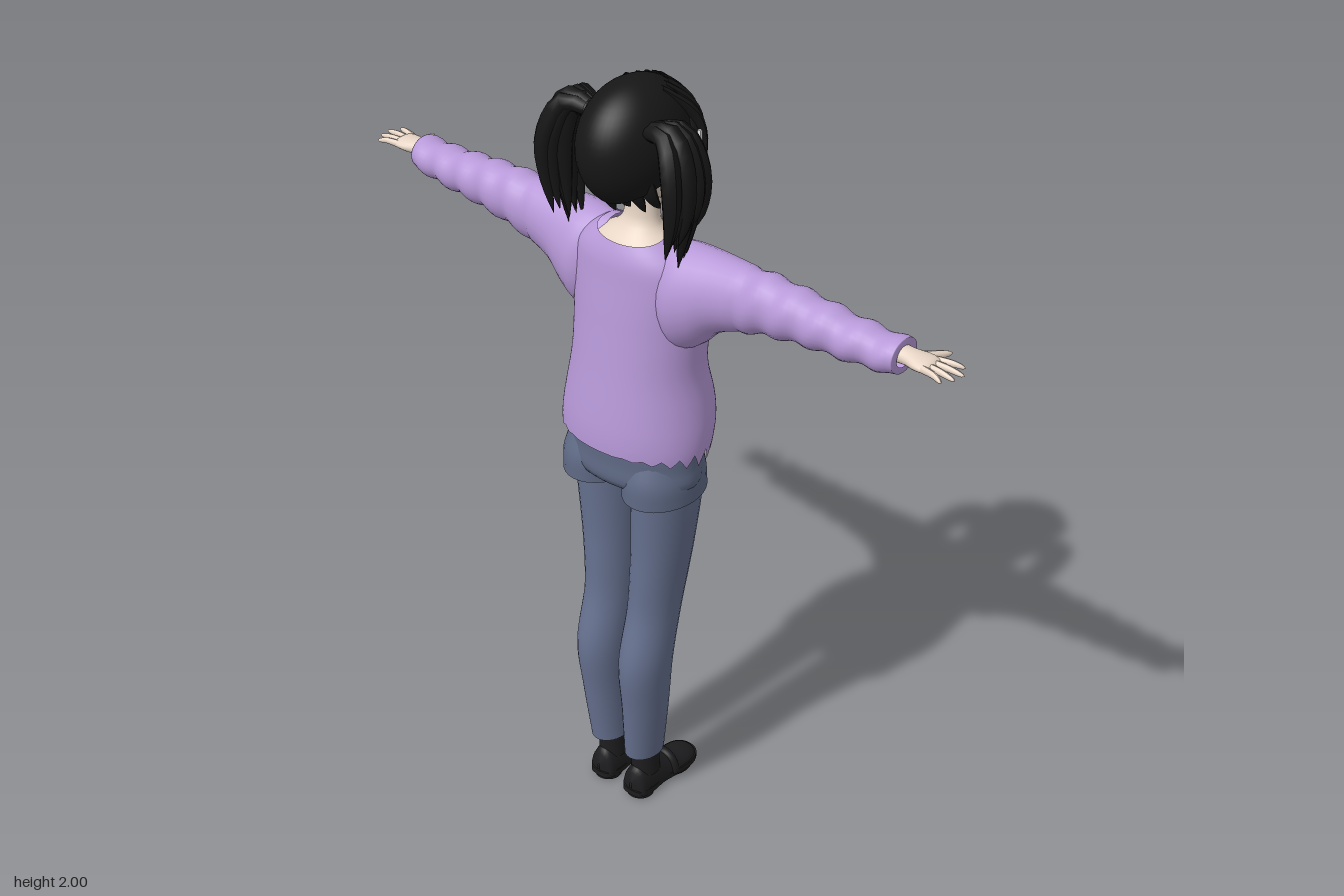
import * as THREE from 'three';

const mat = (name, color, double) => {
  const m = new THREE.MeshStandardMaterial({ color, side: double ? THREE.DoubleSide : THREE.FrontSide });
  m.name = name;
  return m;
};

// Smooth interpolation through a table whose first column is the key.
function at(tab, k) {
  const n = tab.length - 1;
  k = Math.min(Math.max(k, tab[0][0]), tab[n][0]);
  let i = 0;
  while (i < n - 1 && k > tab[i + 1][0]) i++;
  const h = tab[i + 1][0] - tab[i][0], t = (k - tab[i][0]) / h;
  const slope = (j, c) => {
    const a = tab[Math.max(j - 1, 0)], b = tab[Math.min(j + 1, n)];
    return (b[c] - a[c]) / (b[0] - a[0]);
  };
  return tab[i].map((p, c) => {
    const q = tab[i + 1][c], t2 = t * t, t3 = t2 * t;
    return p * (2 * t3 - 3 * t2 + 1) + q * (3 * t2 - 2 * t3)
      + h * (slope(i, c) * (t3 - 2 * t2 + t) + slope(i + 1, c) * (t3 - t2));
  });
}

// Surface closed around angle a, open along v.
function skinGrid(nu, nv, fn) {
  const pos = [], idx = [];
  for (let i = 0; i <= nv; i++) for (let j = 0; j < nu; j++) pos.push(...fn((j / nu) * Math.PI * 2, i / nv));
  for (let i = 0; i < nv; i++) for (let j = 0; j < nu; j++) {
    const k = (j + 1) % nu, a = i * nu + j, b = i * nu + k, c = b + nu, d = a + nu;
    idx.push(a, b, c, a, c, d);
  }
  const g = new THREE.BufferGeometry();
  g.setAttribute('position', new THREE.Float32BufferAttribute(pos, 3));
  g.setIndex(idx);
  g.computeVertexNormals();
  return g;
}

// Vertical loft: rows are [y, halfWidth, backZ, frontZ, centreX].
const ringPoint = (tab, a, y) => {
  const [, rx, zb, zf, cx = 0] = at(tab, y);
  return [cx + rx * Math.sin(a), y, (zb + zf) / 2 + ((zb - zf) / 2) * Math.cos(a)];
};
const loftY = (tab, nu = 32, nv = 28) => {
  const y0 = tab[0][0], y1 = tab[tab.length - 1][0];
  return skinGrid(nu, nv, (a, v) => ringPoint(tab, a, y0 + (y1 - y0) * v));
};

// Tapered strand along a curve, squashed by the factors in flat.
function strand(points, r, flat = [1, 1, 1], blunt = false, radial = 8) {
  const curve = new THREE.CatmullRomCurve3(points.map(p => new THREE.Vector3(...p)));
  const n = 12, g = new THREE.TubeGeometry(curve, n, 1, radial), p = g.attributes.position;
  const v = new THREE.Vector3(), f = new THREE.Vector3(...flat);
  for (let i = 0; i < p.count; i++) {
    const t = Math.floor(i / (radial + 1)) / n, c = curve.getPointAt(t);
    const s = blunt ? r * Math.sqrt(Math.max(0, 1 - t ** 6)) * (1 - 0.3 * t) : r * Math.max(0, Math.sin(Math.PI * (0.2 + 0.8 * t))) ** 0.8;
    v.fromBufferAttribute(p, i).sub(c).multiply(f).multiplyScalar(s).add(c);
    p.setXYZ(i, v.x, v.y, v.z);
  }
  g.computeVertexNormals();
  return g;
}

function mirrored(geo) {
  const g = geo.clone().scale(-1, 1, 1), ix = g.index.array;
  for (let i = 0; i < ix.length; i += 3) [ix[i], ix[i + 1]] = [ix[i + 1], ix[i]];
  g.computeVertexNormals();
  return g;
}

const HEAD = [[1.675, .012, -.08, -.115], [1.69, .036, -.04, -.122], [1.72, .064, .02, -.128], [1.76, .085, .06, -.132],
  [1.81, .096, .1, -.134], [1.87, .1, .11, -.13], [1.93, .08, .08, -.1], [1.97, .03, .03, -.05]];
const NECK = [[1.4, .15, .08, -.11], [1.53, .162, .088, -.109], [1.58, .138, .08, -.088], [1.61, .1, .065, -.07],
  [1.635, .06, .04, -.055], [1.66, .046, .025, -.05], [1.74, .044, .02, -.058]];
const TORSO = [[1.05, .19, .15, -.135], [1.1, .197, .157, -.148], [1.15, .196, .156, -.162], [1.2, .189, .15, -.163], [1.3, .172, .135, -.143],
  [1.4, .174, .122, -.146], [1.46, .178, .115, -.142], [1.53, .178, .106, -.122], [1.58, .163, .1, -.102], [1.61, .13, .09, -.085], [1.638, .085, .075, -.062]];
const SHORTS = [[.985, .13, .09, -.07], [1.0, .182, .128, -.1], [1.06, .184, .132, -.108], [1.12, .18, .132, -.115], [1.22, .15, .11, -.125]];
const CUFF = [[.963, .091, .13, -.104, .094], [1.02, .09, .128, -.1, .093], [1.07, .08, .11, -.09, .09]];
const LEG = [[.14, .045, .1, -.016, .057], [.3, .053, .117, -.021, .066], [.45, .061, .13, -.027, .07], [.6, .061, .098, -.056, .071],
  [.7, .065, .092, -.075, .075], [.8, .071, .09, -.086, .081], [.95, .079, .096, -.1, .088], [1.02, .08, .1, -.098, .09]];
// Rows [x, bottomY, topY, frontZ, backZ]
const SLEEVE = [[.08, 1.41, 1.628, -.08, .06], [.14, 1.37, 1.635, -.105, .085], [.19, 1.395, 1.637, -.1, .077], [.24, 1.445, 1.637, -.088, .064], [.31, 1.477, 1.638, -.074, .055],
  [.4, 1.503, 1.64, -.065, .055], [.5, 1.515, 1.63, -.066, .047], [.6, 1.518, 1.616, -.07, .036], [.72, 1.525, 1.607, -.075, .021]];
// Rows [distance toward toe, halfWidth, height]
const SHOE = [[0, .004, .05], [.006, .03, .075], [.025, .037, .095], [.07, .038, .092], [.115, .04, .076],
  [.155, .044, .06], [.2, .043, .05], [.228, .028, .038], [.238, .004, .024]];

export function createModel() {
  const model = new THREE.Group();
  const skin = mat('skin', 0xead8c8, true), knit = mat('lilac knit', 0xb799d8, true), denim = mat('denim', 0x5f6a85, true);
  const trouser = mat('blue trousers', 0x66718f, true), hair = mat('black hair', 0x161617, true), leather = mat('black leather', 0x1d1d1f, true);
  const white = mat('white', 0xf2f2f4), iris = mat('violet iris', 0x6a55c4), lip = mat('lip', 0xc98a84);
  const add = (name, geo, m) => {
    const mesh = new THREE.Mesh(geo, m);
    mesh.name = name;
    model.add(mesh);
    return mesh;
  };
  const pair = (name, geo, m) => {
    add(name + 'Left', geo, m);
    add(name + 'Right', mirrored(geo), m);
  };

  // Head, neck and upper chest
  add('head', loftY(HEAD), skin);
  add('neckAndChest', loftY(NECK), skin);
  add('nose', strand([[0, 1.775, -.128], [0, 1.757, -.139], [0, 1.748, -.132]], .008), skin);
  pair('ear', strand([[.08, 1.75, -.025], [.108, 1.785, -.01], [.124, 1.825, .018]], .024, [.45, 1, 1]), skin);

  // Thin face details laid on the curve of the face
  const plate = (x, y, w, h, lift) => {
    const g = new THREE.CircleGeometry(1, 20).scale(w, h, 1).rotateY(Math.PI).translate(x, y, 0), p = g.attributes.position;
    for (let i = 0; i < p.count; i++) {
      const [, rx, zb, zf] = at(HEAD, p.getY(i)), q = p.getX(i) / rx;
      p.setZ(i, (zb + zf) / 2 - ((zb - zf) / 2) * Math.sqrt(1 - q * q) - lift);
    }
    g.computeVertexNormals();
    return g;
  };
  pair('eyeWhite', plate(.044, 1.785, .022, .016, .002), white);
  pair('iris', plate(.043, 1.785, .012, .015, .003), iris);
  pair('pupil', plate(.043, 1.784, .005, .008, .004), hair);
  pair('eyelash', plate(.045, 1.802, .025, .004, .004), hair);
  add('mouth', plate(0, 1.712, .014, .0025, .002), lip);

  // Hair cap, higher at the brow than at the nape
  add('hairCap', skinGrid(48, 20, (a, v) => {
    const c = Math.cos(a), low = c > 0 ? 1.79 - .055 * c : 1.79 - .1 * c;
    const th = Math.acos((low - 1.85) / .15) * (1 - v), s = Math.sin(th);
    return [.113 * s * Math.sin(a), 1.85 + .15 * Math.cos(th), .013 + (c > 0 ? .152 : .158) * s * c];
  }), hair);
  // Fringe locks
  const tips = [1.72, 1.765, 1.82, 1.8, 1.77, 1.79, 1.825, 1.775, 1.73];
  tips.forEach((y, i) => {
    const x = (i - 4) * .0235, back = Math.abs(x) ** 2 * 6;
    add('fringeLock', strand([[x * .5, 1.975, -.07 + back], [x * .95, 1.915, -.128 + back], [x * 1.08, 1.86, -.146 + back], [x * 1.05 + .006, y, -.143 + back]], .019, [1, 1, .5]), hair);
  });
  for (let i = 0; i < 4; i++) {
    const z = -.075 + i * .026;
    pair('sideLock', strand([[.085, 1.9, z], [.108, 1.83, z], [.104, 1.77, z - .01], [.09, 1.715 + i * .014, z - .014]], .018, [.5, 1, 1]), hair);
  }
  for (let i = -3; i <= 3; i++) {
    const x = i * .027, z = .11 - Math.abs(i) * .018;
    add('napeLock', strand([[x, 1.81, z + .012], [x, 1.755, z - .005], [x * 1.02, 1.7 + (i % 2 ? .012 : 0), z - .035]], .02, [1, 1, .6]), hair);
  }
  // Twin tails made of overlapping strands
  for (let i = 0; i < 12; i++) {
    const a = i * 2.4, q = Math.sqrt((i + .5) / 12), dx = .024 * q * Math.cos(a), dz = .055 * q * Math.sin(a);
    pair('twinTail', strand([[.09, 1.915 + dx * .4, .055 + dz * .3], [.14 + dx * .6, 1.92 + dx * .4, .052 + dz * .6], [.178 + dx, 1.835, .054 + dz],
      [.178 + dx, 1.74, .054 + dz], [.16 + dx * .8, 1.605 + (i * 7 % 12) * .008, .055 + dz * .9]], .024), hair);
  }
  pair('hairTie', new THREE.TorusGeometry(.02, .009, 8, 16).rotateY(Math.PI / 2).translate(.115, 1.917, .054), hair);
  pair('hairClip', new THREE.BoxGeometry(.008, .03, .007).translate(.115, 1.865, -.072), white);

  // Sweater body with torn hem and a torn scoop neckline on the face side
  const tooth = (a, n) => Math.abs(((a * n / Math.PI) % 2) - 1);
  add('sweaterBody', skinGrid(144, 36, (a, v) => {
    const c = Math.cos(a), front = Math.max(0, -c), x = Math.abs(.16 * Math.sin(a));
    let hem = 1.105 - .04 * (1 - Math.max(0, c)) * tooth(a, 24);
    if (c < 0 && x < .045) hem = 1.125 + .075 * (1 - x / .05) + .02 * tooth(a, 36);
    const top = c > 0 ? 1.638 - .014 * c : 1.638 - .105 * front ** 4 - .02 * front ** 3 * tooth(a, 18);
    return ringPoint(TORSO, a, hem + (top - hem) * v);
  }), knit);
  // Torn collar ends hanging over the chest
  const tab = new THREE.Shape([[.02, 1.53], [.075, 1.585], [.085, 1.53], [.062, 1.515], [.066, 1.47], [.045, 1.49], [.035, 1.42], [.012, 1.47]].map(p => new THREE.Vector2(...p)));
  const flap = new THREE.ShapeGeometry(tab), fp = flap.attributes.position;
  for (let i = 0; i < fp.count; i++) {
    const [, rx, zb, zf] = at(TORSO, fp.getY(i));
    fp.setZ(i, (zb + zf) / 2 - ((zb - zf) / 2) * Math.sqrt(1 - (fp.getX(i) / rx) ** 2) - .006);
  }
  flap.computeVertexNormals();
  pair('collarFlap', flap, knit);

  // Sleeves with soft wrinkles and a turned-in cuff
  pair('sleeve', skinGrid(28, 60, (a, v) => {
    const x = .08 + .64 * Math.min(1, v / .97), [, yb, yt, zf, zb] = at(SLEEVE, x);
    const w = x > .3 ? .004 * Math.sin(x * 75 + 1.5 * Math.sin(a)) : 0, s = v > .985 ? .6 : 1;
    return [x, (yb + yt) / 2 - ((yt - yb) / 2 + w) * s * Math.sin(a), (zf + zb) / 2 + ((zb - zf) / 2 + w) * s * Math.cos(a)];
  }), knit);

  // Hands
  const PALM = [[.68, .024, .028], [.73, .019, .025], [.765, .016, .034], [.795, .011, .033], [.802, .003, .025]];
  pair('palm', skinGrid(20, 16, (a, v) => {
    const x = .68 + .122 * v, [, ry, rz] = at(PALM, x);
    return [x, 1.575 - ry * Math.sin(a), -.026 + rz * Math.cos(a)];
  }), skin);
  [[-.051, -.068, .848], [-.034, -.04, .865], [-.017, -.012, .86], [-.001, .014, .843]].forEach(([z0, z1, x]) =>
    pair('finger', strand([[.785, 1.576, z0], [.82, 1.577, (z0 + z1) / 2], [x, 1.572, z1]], .009, [1, 1, 1], true), skin));
  pair('thumb', strand([[.735, 1.57, -.035], [.76, 1.566, -.075], [.782, 1.56, -.118]], .012, [1, 1, 1], true), skin);

  // Shorts over trousers
  add('shortsHips', loftY(SHORTS, 40, 16), denim);
  pair('shortsCuff', loftY(CUFF, 32, 8), denim);
  pair('trouserLeg', loftY(LEG, 28, 36), trouser);

  // Shoes and socks
  pair('sock', new THREE.CylinderGeometry(.034, .036, .12, 20).scale(1, 1, 1.12).translate(.056, .125, .036), leather);
  pair('shoeUpper', skinGrid(28, 30, (a, v) => {
    const d = .238 * v, [, w, h] = at(SHOE, d), c = Math.cos(a);
    return [.056 + w * Math.sin(a), .02 + (c > 0 ? (h - .02) * c : .004 * c), .095 - d];
  }), leather);
  const outline = [[0, .098], [.03, .09], [.039, .05], [.037, 0], [.046, -.06], [.045, -.105], [.03, -.135], [0, -.145]];
  const sole = new THREE.Shape();
  sole.setFromPoints(new THREE.SplineCurve([...outline, ...outline.slice(1, -1).reverse().map(([x, z]) => [-x, z]), outline[0]]
    .map(([x, z]) => new THREE.Vector2(x, -z))).getPoints(48));
  const soleGeo = new THREE.ExtrudeGeometry(sole, { depth: .016, bevelEnabled: false }).rotateX(-Math.PI / 2).translate(.056, .012, 0);
  soleGeo.setIndex([...Array(soleGeo.attributes.position.count).keys()]);
  pair('sole', soleGeo, leather);
  pair('heel', new THREE.CylinderGeometry(.038, .036, .03, 20).translate(.056, .015, .056), leather);
  pair('forefootPad', new THREE.CylinderGeometry(.043, .042, .014, 20).scale(1, 1, 1.3).translate(.056, .007, -.08), leather);
  pair('shoeStrap', new THREE.TorusGeometry(.041, .006, 8, 20, Math.PI).scale(1, 1.25, 2).translate(.056, .02, -.04), leather);

  return model;
}
